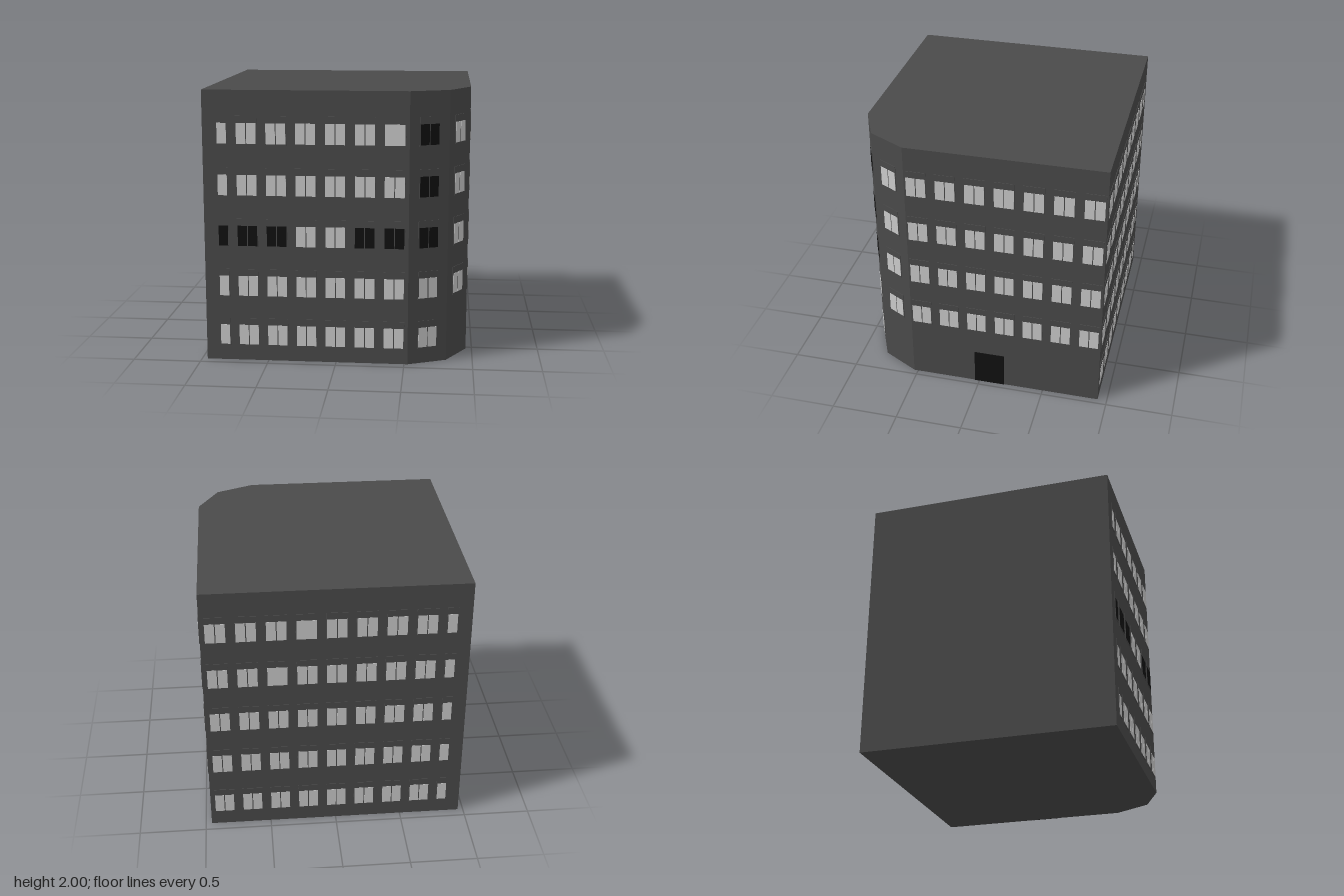
import * as THREE from 'three';

const HEIGHT = 2;
const OUTLINE = [[-0.96, -0.93], [-0.96, 0.93], [0.525, 0.93], [0.805, 0.805], [0.955, 0.53], [0.955, -0.93]];
const ROWS = [0.195, 0.567, 0.942, 1.315, 1.69]; // window centre heights
const PANE = { w: 0.068, h: 0.15, gap: 0.007 };
const PITCH = 0.213;

const wallMat = new THREE.MeshStandardMaterial({ color: 0x4a4a4a });
const litMat = new THREE.MeshStandardMaterial({ color: 0xcccccc });
const darkMat = new THREE.MeshStandardMaterial({ color: 0x111111 });

// Box standing on the wall plane (local z = 0), facing outwards
function slab(name, w, h, depth, x, y, material) {
  const mesh = new THREE.Mesh(new THREE.BoxGeometry(w, h, depth), material);
  mesh.name = name;
  mesh.position.set(x, y, depth / 2);
  return mesh;
}

// Raised surround with one pane, two panes, or one undivided wide pane
function makeWindow(kind, dark) {
  const group = new THREE.Group();
  group.name = 'window';
  const width = kind === 'single' ? PANE.w : 2 * PANE.w + PANE.gap;
  const material = dark ? darkMat : litMat;
  group.add(slab('windowSurround', width + 0.012, 0.212, 0.004, 0, 0.02, wallMat));
  if (kind === 'pair') {
    for (const side of [-1, 1]) {
      group.add(slab('windowPane', PANE.w, PANE.h, 0.0055, side * (PANE.w + PANE.gap) / 2, 0, material));
    }
  } else {
    group.add(slab('windowPane', width, PANE.h, 0.0055, 0, 0, material));
  }
  return group;
}

// Facade frame: local x runs along the wall, local z points outwards
function makeFacade(name, a, b) {
  const group = new THREE.Group();
  group.name = name;
  group.position.set((a[0] + b[0]) / 2, 0, (a[1] + b[1]) / 2);
  group.rotation.y = Math.atan2(a[1] - b[1], b[0] - a[0]);
  return group;
}

function addWindow(facade, x, row, kind = 'pair', dark = false) {
  const win = makeWindow(kind, dark);
  win.position.set(x, ROWS[row], 0);
  facade.add(win);
}

export function createModel() {
  const model = new THREE.Group();
  model.name = 'officeBuilding';

  // Solid block with a two-facet corner
  const shape = new THREE.Shape(OUTLINE.map(([x, z]) => new THREE.Vector2(x, -z)));
  const blockGeo = new THREE.ExtrudeGeometry(shape, { depth: HEIGHT, bevelEnabled: false });
  blockGeo.rotateX(-Math.PI / 2);
  const block = new THREE.Mesh(blockGeo, wallMat);
  block.name = 'buildingBlock';
  model.add(block);

  const [backRight, frontLeft, cornerA, cornerB, cornerC, backLeft] = OUTLINE;
  const front = makeFacade('frontFacade', frontLeft, cornerA);
  const facetA = makeFacade('frontCornerFacet', cornerA, cornerB);
  const facetB = makeFacade('sideCornerFacet', cornerB, cornerC);
  const side = makeFacade('sideFacade', cornerC, backLeft);
  const back = makeFacade('backFacade', backLeft, backRight);
  model.add(front, facetA, facetB, side, back);

  ROWS.forEach((_, row) => {
    // Front: one narrow window, then seven bays minus the cut corner
    const middle = row === 2;
    addWindow(front, -0.82 - front.position.x, row, 'single', middle);
    for (let i = 0; i < 6; i++) {
      const dark = middle && i !== 2 && i !== 3;
      addWindow(front, -0.643 + i * PITCH - front.position.x, row, row === 4 && i === 5 ? 'wide' : 'pair', dark);
    }

    // Back: the same rhythm across the whole width, mirrored
    addWindow(back, back.position.x + 0.82, row, 'single');
    for (let i = 0; i < 8; i++) {
      const wide = (row === 4 && i === 4) || (row === 3 && i === 5);
      addWindow(back, back.position.x + 0.643 - i * PITCH, row, wide ? 'wide' : 'pair');
    }

    // Cut corner and side, whose ground floor is plain
    addWindow(facetA, 0, row, 'pair', row >= 2);
    if (row === 0) return;
    addWindow(facetB, 0, row);
    for (let i = 0; i < 7; i++) {
      addWindow(side, side.position.z - 0.443 + i * 0.214, row);
    }
  });

  // Entrance on the side wall
  side.add(slab('door', 0.23, 0.277, 0.004, side.position.z + 0.08, 0.1385, darkMat));
  return model;
}
